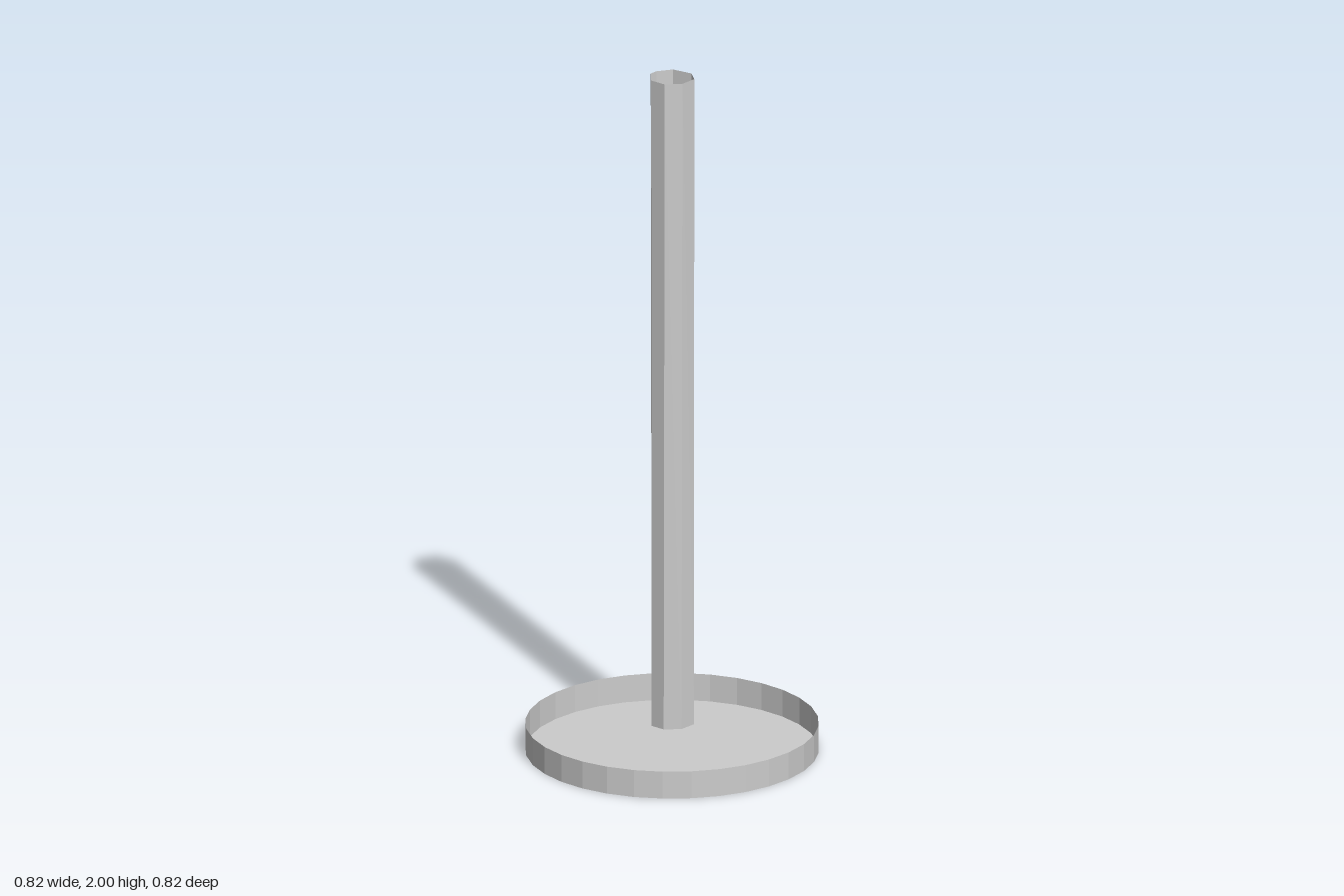
import * as THREE from 'three';

const RADIUS = 0.412, RIM = 0.08, SIDES = 32;

// Slightly irregular [x, z] outlines of the hollow pole, running around from the back
const POLE_TOP = [
  [-0.013, -0.065], [0.035, -0.055], [0.063, 0], [0.047, 0.044],
  [-0.002, 0.062], [-0.048, 0.042], [-0.064, -0.006], [-0.036, -0.057],
];
const POLE_BOTTOM = [
  [-0.018, -0.057], [0.035, -0.057], [0.063, 0.008], [0.045, 0.045],
  [-0.005, 0.062], [-0.05, 0.04], [-0.064, -0.003], [-0.041, -0.031],
];

// Open tube wall joining two outlines of equal length
function wallBetween(bottom, yBottom, top, yTop) {
  const points = [];
  const n = bottom.length;
  for (let i = 0; i < n; i++) {
    const j = (i + 1) % n;
    const a = [bottom[i][0], yBottom, bottom[i][1]];
    const b = [bottom[j][0], yBottom, bottom[j][1]];
    const c = [top[j][0], yTop, top[j][1]];
    const d = [top[i][0], yTop, top[i][1]];
    points.push(...a, ...c, ...b, ...a, ...d, ...c);
  }
  const geometry = new THREE.BufferGeometry();
  geometry.setAttribute('position', new THREE.Float32BufferAttribute(points, 3));
  geometry.computeVertexNormals();
  return geometry;
}

export function createModel() {
  const grey = new THREE.MeshStandardMaterial({ color: 0xcccccc, flatShading: true, side: THREE.DoubleSide });
  grey.name = 'light grey';
  const model = new THREE.Group();
  model.name = 'poleStand';
  const add = (name, geometry) => {
    const mesh = new THREE.Mesh(geometry, grey);
    mesh.name = name;
    model.add(mesh);
  };

  // Shallow open tray: floor and thin rim
  add('baseFloor', new THREE.CircleGeometry(RADIUS, SIDES).rotateX(-Math.PI / 2));
  add('baseRim', new THREE.CylinderGeometry(RADIUS, RADIUS, RIM, SIDES, 1, true).translate(0, RIM / 2, 0));

  // Hollow pole, open at both ends, starting level with the rim
  add('pole', wallBetween(POLE_BOTTOM, RIM, POLE_TOP, 2));

  return model;
}
